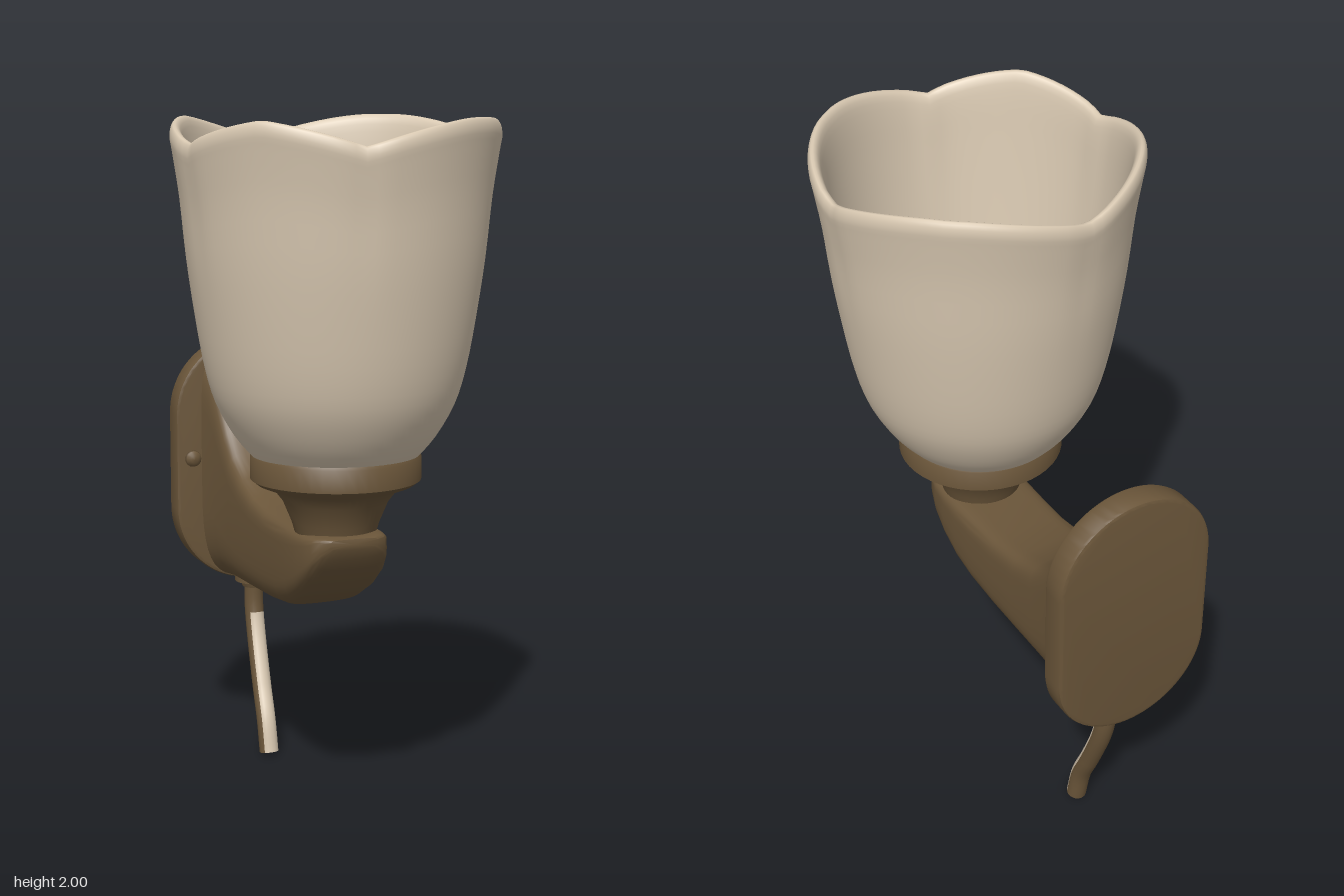
import * as THREE from 'three';
import { mergeVertices, toCreasedNormals } from 'three/addons/utils/BufferGeometryUtils.js';

const bronze = new THREE.MeshStandardMaterial({ color: 0x6b563a });
bronze.name = 'bronze';
const cream = new THREE.MeshStandardMaterial({ color: 0xd8c8b1 });
cream.name = 'creamGlass';
const SHADE_Z = 0.183;

const points = (list) => list.map(([x, y]) => new THREE.Vector2(x, y));

function add(group, name, geometry, material, x = 0, y = 0, z = 0) {
  const mesh = new THREE.Mesh(geometry, material);
  mesh.name = name;
  mesh.position.set(x, y, z);
  group.add(mesh);
  return mesh;
}

// Glass bowl with four petals: the rim dips to a cusp between them
function shadeGeometry() {
  const curve = new THREE.SplineCurve(points([
    [0.235, 1.06], [0.285, 1.12], [0.335, 1.21], [0.365, 1.31], [0.39, 1.45], [0.413, 1.62],
    [0.43, 1.8], [0.447, 1.92], [0.454, 1.97], [0.444, 1.998], [0.424, 1.985], [0.412, 1.92],
    [0.4, 1.8], [0.378, 1.6], [0.35, 1.4], [0.29, 1.2], [0.2, 1.11], [0, 1.08],
  ]));
  const profile = curve.getPoints(51);
  profile[51].x = 0;
  let geo = new THREE.LatheGeometry(profile, 96);
  const cusps = [-11, 90, 190, 277, 349].map(THREE.MathUtils.degToRad);
  const p = geo.attributes.position;
  for (let i = 0; i < p.count; i++) {
    const x = p.getX(i), y = p.getY(i), z = p.getZ(i);
    const angle = (Math.atan2(x, z) + Math.PI * 2) % (Math.PI * 2);
    const gap = Math.min(...cusps.map((c) => Math.abs(angle - c)));
    const near = Math.max(0, 1 - gap / (Math.PI / 4));
    const high = THREE.MathUtils.smoothstep(y, 1.4, 2);
    const groove = 1 - 0.015 * high * Math.max(0, 1 - gap / 0.12);
    p.setXYZ(i, x * groove, y - 0.07 * high * near ** 1.6, z * groove);
  }
  geo.deleteAttribute('normal');
  geo.deleteAttribute('uv');
  geo = mergeVertices(geo, 1e-5);
  geo.computeVertexNormals();
  return geo;
}

// Arm lofted from the wall to the tip; sections are [z, bottom, top, half width]
function armGeometry() {
  const sections = [
    [-0.56, 0.54, 1.265, 0.16], [-0.52, 0.545, 1.21, 0.15], [-0.48, 0.55, 1.14, 0.143],
    [-0.43, 0.553, 1.04, 0.136], [-0.38, 0.556, 0.97, 0.133], [-0.3, 0.56, 0.91, 0.13],
    [-0.2, 0.567, 0.873, 0.13], [-0.08, 0.575, 0.853, 0.131], [0.04, 0.59, 0.85, 0.133],
    [0.12, 0.615, 0.85, 0.134], [0.19, 0.655, 0.85, 0.132], [0.25, 0.705, 0.85, 0.126],
    [0.29, 0.75, 0.85, 0.115], [0.315, 0.785, 0.849, 0.098], [0.33, 0.815, 0.845, 0.07],
  ];
  const n = 40, pos = [], idx = [];
  for (const [z, low, top, half] of sections) {
    for (let j = 0; j < n; j++) {
      const a = (j / n) * Math.PI * 2, c = Math.cos(a), s = Math.sin(a);
      const power = s > 0 ? 0.32 : 0.55;
      pos.push(half * Math.sign(c) * Math.abs(c) ** power,
        (low + top) / 2 + (top - low) / 2 * Math.sign(s) * Math.abs(s) ** power, z);
    }
  }
  for (let i = 0; i < sections.length - 1; i++) {
    for (let j = 0; j < n; j++) {
      const a = i * n + j, b = i * n + (j + 1) % n;
      idx.push(a, b, a + n, b, b + n, a + n);
    }
  }
  // Close the tip
  const last = (sections.length - 1) * n, centre = pos.length / 3;
  pos.push(0, 0.83, 0.333);
  for (let j = 0; j < n; j++) idx.push(last + j, last + (j + 1) % n, centre);
  const geo = new THREE.BufferGeometry();
  geo.setAttribute('position', new THREE.Float32BufferAttribute(pos, 3));
  geo.setIndex(idx);
  return toCreasedNormals(geo, 0.7);
}

// Upright rounded wall plate
function plateGeometry() {
  const shape = new THREE.Shape();
  shape.absarc(0, 0.15, 0.24, 0, Math.PI);
  shape.absarc(0, -0.15, 0.24, Math.PI, Math.PI * 2);
  shape.closePath();
  const geo = new THREE.ExtrudeGeometry(shape, {
    depth: 0.06, bevelThickness: 0.01, bevelSize: 0.01, bevelOffset: -0.01,
    bevelSegments: 2, curveSegments: 24,
  });
  return toCreasedNormals(geo, 0.6);
}

// Cord whose lower front strip is cream
function cordGeometry() {
  const path = new THREE.CatmullRomCurve3([
    [0, 0.54, -0.52], [0, 0.45, -0.52], [0, 0.36, -0.5], [-0.004, 0.2, -0.435],
    [-0.006, 0.1, -0.39], [-0.004, 0, -0.37],
  ].map((v) => new THREE.Vector3(...v)));
  const geo = new THREE.TubeGeometry(path, 24, 0.03, 16);
  const normal = geo.attributes.normal, position = geo.attributes.position;
  for (let q = 0; q < geo.index.count; q += 6) {
    let front = 0, side = 0, y = 0;
    for (let k = 0; k < 6; k++) {
      const v = geo.index.getX(q + k);
      front += normal.getZ(v) / 6;
      side += normal.getX(v) / 6;
      y += position.getY(v) / 6;
    }
    const isCream = y < 0.42 && front > 0.4 && side > -0.75;
    geo.addGroup(q, 6, isCream ? 1 : 0);
  }
  return geo;
}

export function createModel() {
  const lamp = new THREE.Group();
  lamp.name = 'wallLamp';

  add(lamp, 'glassShade', shadeGeometry(), cream, 0, 0, SHADE_Z);

  // Flared socket cup holding the shade
  const cup = new THREE.LatheGeometry(points([
    [0, 0.835], [0.115, 0.835], [0.125, 0.87], [0.15, 0.93], [0.175, 0.962], [0.225, 0.982],
    [0.242, 0.995], [0.242, 1.058], [0.234, 1.07], [0, 1.07],
  ]), 48);
  add(lamp, 'shadeHolder', toCreasedNormals(cup, 0.6), bronze, 0, 0, SHADE_Z + 0.005);

  add(lamp, 'arm', armGeometry(), bronze);
  add(lamp, 'wallPlate', plateGeometry(), bronze, 0, 0.918, -0.625);

  // Domed screws on the plate
  for (const side of [-1, 1]) {
    const screw = new THREE.LatheGeometry(points([
      [0.014, 0], [0.014, 0.008], [0.026, 0.01], [0.024, 0.02], [0.012, 0.027], [0, 0.028],
    ]), 16);
    add(lamp, side > 0 ? 'leftScrew' : 'rightScrew', screw, bronze, side * 0.19, 0.93, -0.556)
      .rotation.x = Math.PI / 2;
  }

  // Stepped cord collar under the arm
  const collar = new THREE.LatheGeometry(points([
    [0, 0.512], [0.04, 0.512], [0.045, 0.528], [0.063, 0.53], [0.063, 0.548], [0, 0.55],
  ]), 24);
  add(lamp, 'cordCollar', toCreasedNormals(collar, 0.6), bronze, 0, 0, -0.51);

  add(lamp, 'cord', cordGeometry(), [bronze, cream]);
  add(lamp, 'cordEnd', new THREE.CircleGeometry(0.03, 16), bronze, -0.004, 0.001, -0.37)
    .rotation.x = Math.PI / 2;

  return lamp;
}
